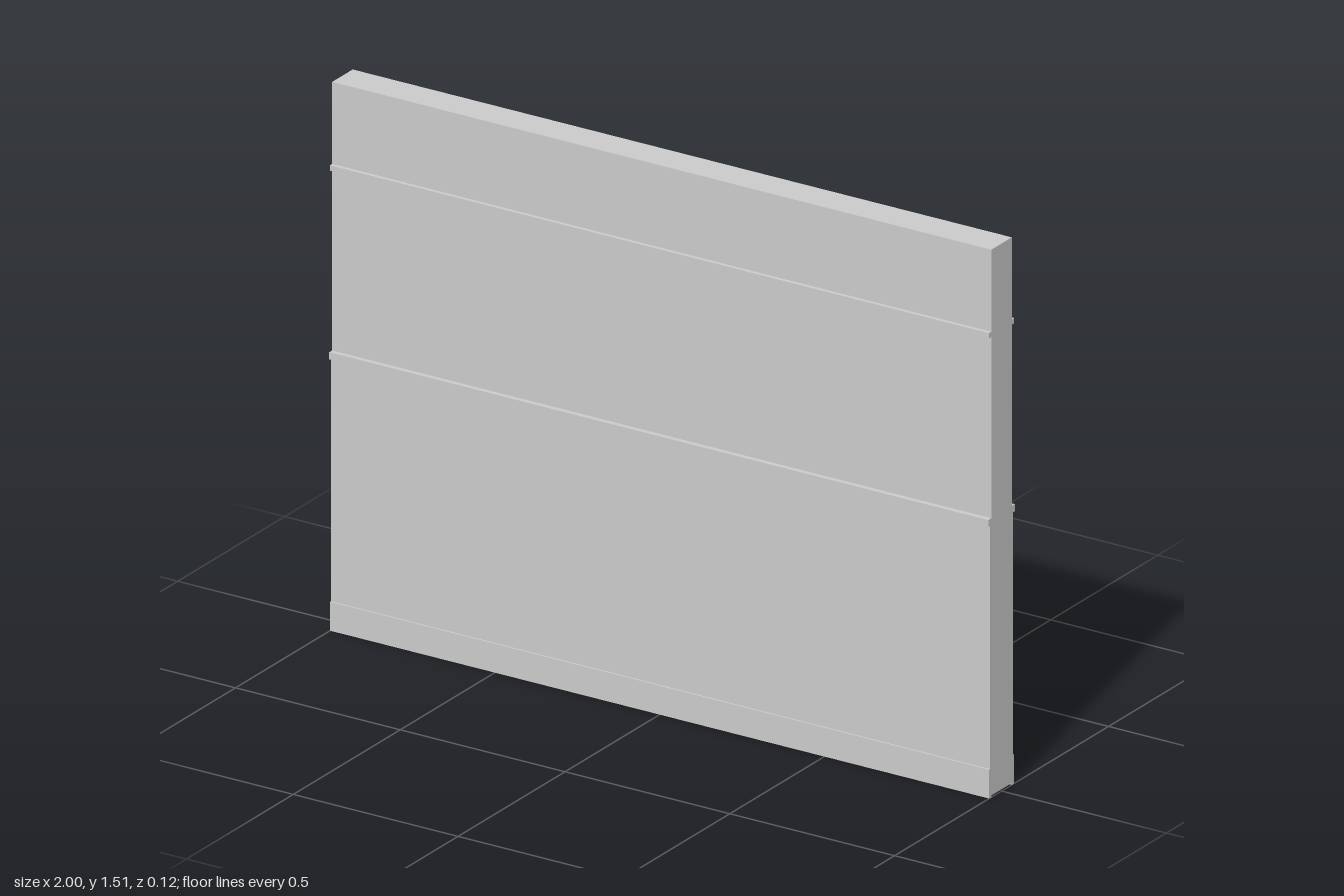
import * as THREE from 'three';

const material = new THREE.MeshStandardMaterial({ color: 0xcccccc });

export function createModel() {
  const group = new THREE.Group();
  const length = 2;
  const coreZ = 0.048; // half thickness of the wall

  const addBox = (name, y0, y1, z0, z1) => {
    const mesh = new THREE.Mesh(new THREE.BoxGeometry(length, y1 - y0, z1 - z0), material);
    mesh.name = name;
    mesh.position.set(0, (y0 + y1) / 2, (z0 + z1) / 2);
    group.add(mesh);
  };

  // Wall core
  addBox('wallCore', 0.005, 1.515, -coreZ, coreZ);

  // Trim strips: name, bottom, top, outer face distance from the middle
  const trims = [
    ['wainscotPanel', 0, 0.752, 0.053],
    ['baseboard', 0, 0.08, 0.058],
    ['chairRail', 0.752, 0.772, 0.062],
    ['pictureRail', 1.273, 1.288, 0.059],
  ];

  // The same trim on the front and the back
  for (const [name, y0, y1, z] of trims) {
    addBox(`${name}Front`, y0, y1, coreZ, z);
    addBox(`${name}Back`, y0, y1, -z, -coreZ);
  }

  return group;
}
